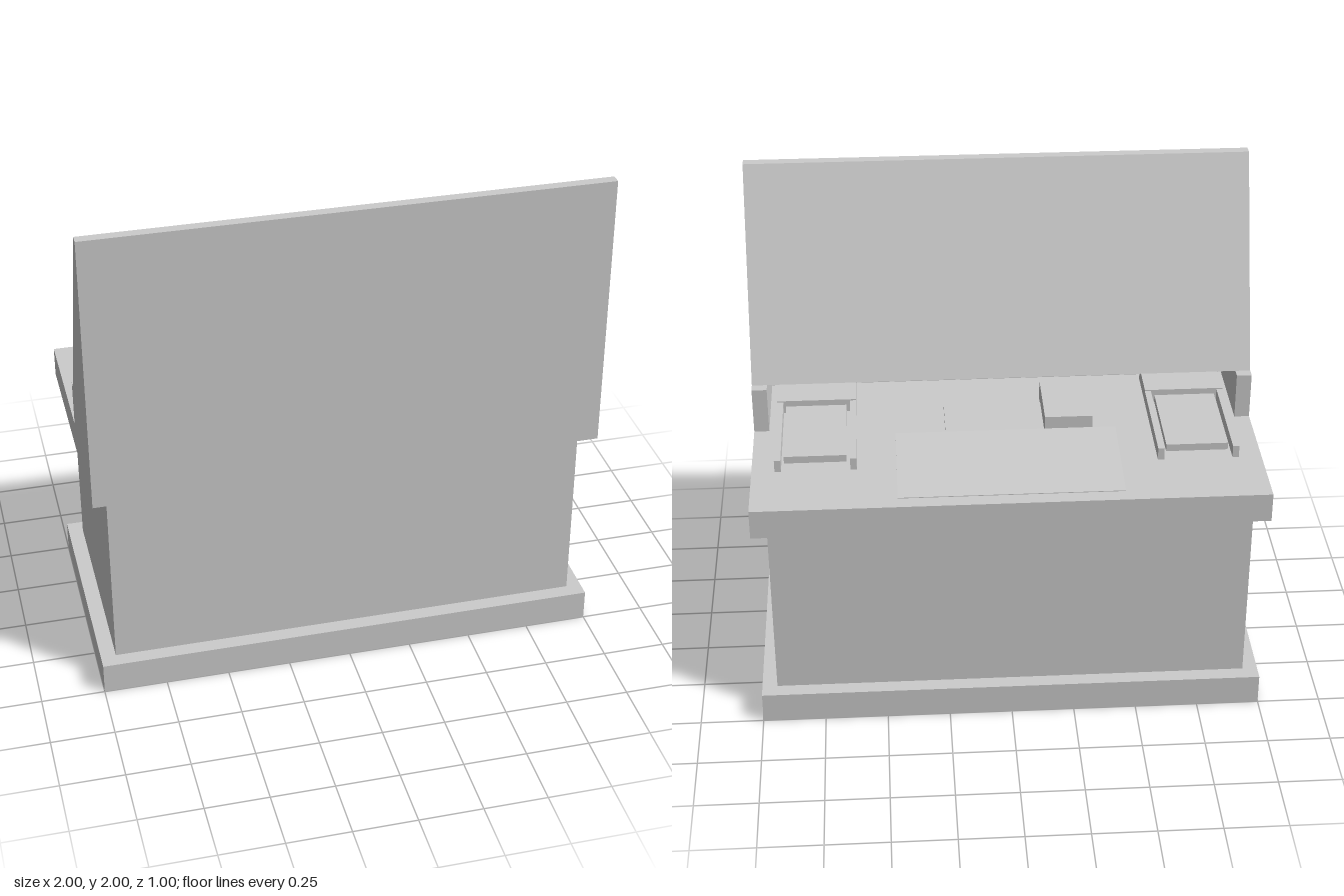
import * as THREE from 'three';

const material = new THREE.MeshStandardMaterial({ color: 0xcccccc, flatShading: true });

export function createModel() {
  const model = new THREE.Group();
  model.name = 'counter';

  // Box given by its extents along each axis
  const box = (name, [x0, x1], [y0, y1], [z0, z1], parent = model) => {
    const mesh = new THREE.Mesh(new THREE.BoxGeometry(x1 - x0, y1 - y0, z1 - z0), material);
    mesh.position.set((x0 + x1) / 2, (y0 + y1) / 2, (z0 + z1) / 2);
    mesh.name = name;
    parent.add(mesh);
    return mesh;
  };

  // Side profile of [z, y] points swept across x
  const sweep = (name, points, x0, x1) => {
    const shape = new THREE.Shape(points.map(([z, y]) => new THREE.Vector2(-z, y)));
    const geometry = new THREE.ExtrudeGeometry(shape, { depth: x1 - x0, bevelEnabled: false });
    geometry.rotateY(Math.PI / 2).translate(x0, 0, 0);
    const mesh = new THREE.Mesh(geometry, material);
    mesh.name = name;
    model.add(mesh);
    return mesh;
  };

  // Plinth, cabinet and worktop
  box('plinth', [-1, 1], [0, 0.125], [-0.5, 0.5]);
  box('cabinet', [-0.94, 0.94], [0.125, 0.88], [-0.44, 0.44]);
  box('worktop', [-1, 1], [0.88, 1], [-0.5, 0.5]);

  // Tall screen with a sloping rear face, over an open niche
  sweep('screen', [[0.5, 1.19], [0.5, 2], [0.46, 2], [0.13, 1.19]], -1, 1);
  box('nicheBackWall', [-0.94, 0.94], [1, 1.19], [0.46, 0.5]);

  // Mirrored niche ends and sliding trays
  for (const side of [-1, 1]) {
    const span = (a, b) => (side > 0 ? [a, b] : [-b, -a]);
    box('nicheEnd', span(0.94, 1), [1, 1.19], [0.09, 0.5]);

    const tray = new THREE.Group();
    tray.name = side > 0 ? 'leftTray' : 'rightTray';
    model.add(tray);
    box('outerRail', span(0.885, 0.91), [1, 1.05], [-0.22, 0.23], tray);
    box('innerRail', span(0.59, 0.615), [1, 1.05], [-0.22, 0.23], tray);
    box('trayPlate', span(0.63, 0.875), [1, 1.03], [-0.16, 0.23], tray);
    box('trayHousing', span(0.59, 0.91), [1, 1.055], [0.23, 0.42], tray);
  }

  // Items on the worktop
  sweep('slopedPanel', [[-0.04, 1], [-0.04, 1.05], [-0.44, 1.003], [-0.44, 1]], -0.44, 0.435);
  box('raisedBox', [-0.35, -0.16], [1, 1.09], [-0.02, 0.28]);
  box('flatPad', [-0.16, 0.235], [1, 1.015], [0.015, 0.23]);

  return model;
}
